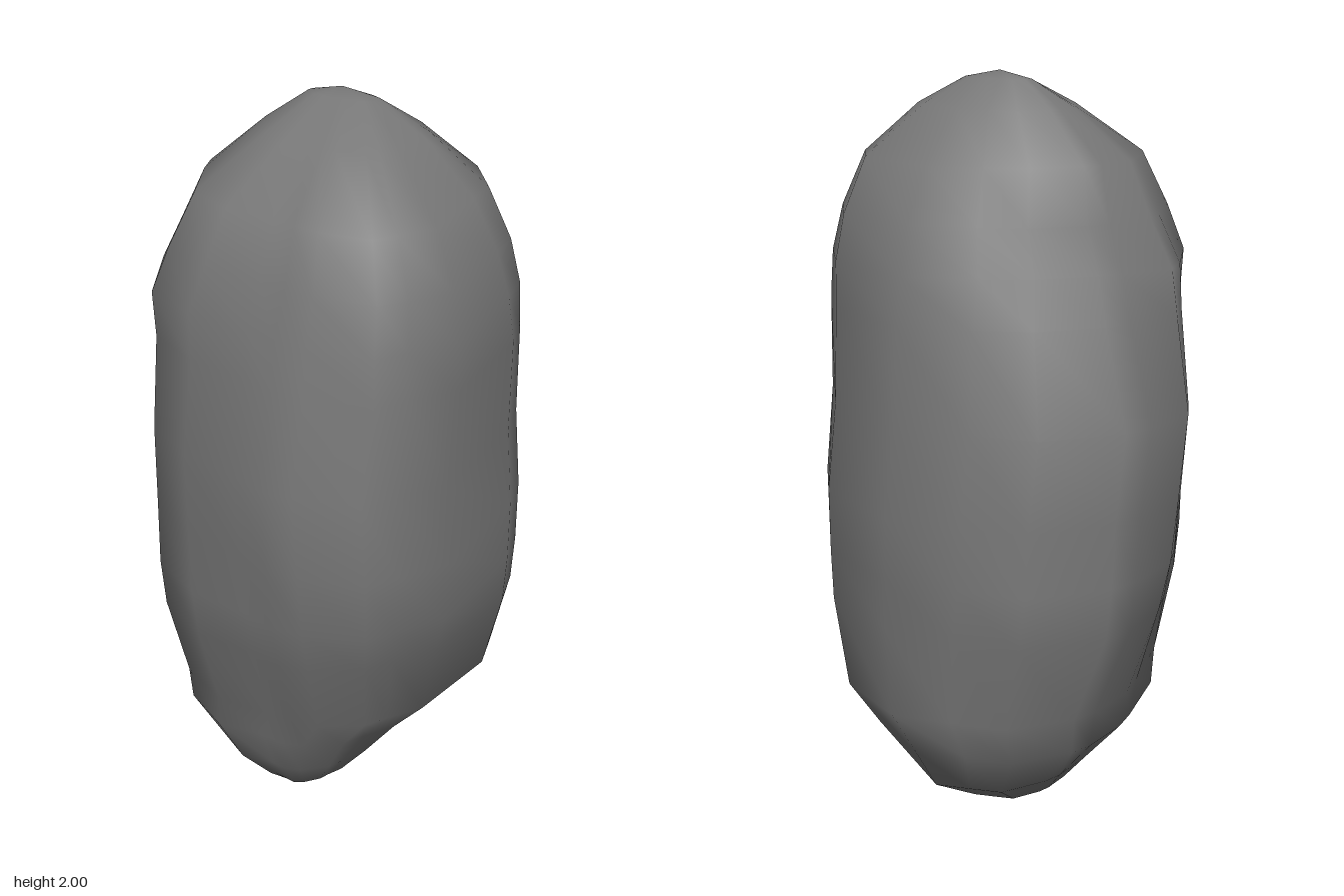
import * as THREE from 'three';

// Irregular outline of the stone seen from above, as [x, z], running back, right, front, left
const OUTLINE = [
  [0.1, -0.505], [-0.1, -0.48], [-0.28, -0.455], [-0.44, -0.29], [-0.475, -0.215], [-0.5, -0.03],
  [-0.465, 0.07], [-0.365, 0.31], [-0.22, 0.415], [-0.05, 0.46], [0.04, 0.5], [0.13, 0.505],
  [0.3, 0.47], [0.36, 0.4], [0.455, 0.29], [0.5, -0.05], [0.48, -0.175], [0.365, -0.35],
];

// Cross-sections from bottom to top: [y, xMin, xMax, zMin, zMax],
// then the swell of the corners: front left, front right, back right, back left
const SECTIONS = [
  [0.06, -0.15, 0.13, -0.2, 0.25, -0.3, 0.3, 0, 0],
  [0.16, -0.24, 0.22, -0.38, 0.32, -0.2, 0.45, 0, 0],
  [0.28, -0.35, 0.33, -0.45, 0.365, -0.2, 0.4, 0, 0],
  [0.38, -0.37, 0.43, -0.475, 0.395, -0.2, 0.33, 0, 0],
  [0.62, -0.44, 0.49, -0.49, 0.48, -0.18, 0.17, 0.15, 0],
  [0.75, -0.47, 0.5, -0.495, 0.5, -0.05, 0.08, 0.05, 0],
  [0.92, -0.49, 0.5, -0.505, 0.505, 0, 0, 0, 0],
  [1.15, -0.505, 0.49, -0.475, 0.51, 0, -0.08, 0, 0],
  [1.4, -0.48, 0.49, -0.44, 0.45, 0.05, 0.03, -0.25, 0],
  [1.52, -0.465, 0.47, -0.41, 0.425, 0.1, 0.15, -0.37, 0.1],
  [1.64, -0.4, 0.435, -0.36, 0.38, 0.15, 0.24, -0.3, 0.18],
  [1.78, -0.33, 0.37, -0.28, 0.32, 0.18, 0.24, -0.12, 0.3],
  [1.91, -0.18, 0.24, -0.17, 0.15, 0, 0.1, 0, 0.15],
  [1.98, -0.08, 0.11, -0.09, -0.02, 0, 0, 0, 0],
];
const BOTTOM = [0.08, 0, -0.07];
const TOP = [0.01, 2, -0.06];

function stoneGeometry() {
  const n = OUTLINE.length;
  const positions = [];
  const index = [];

  // Fit the outline into the extents of each section and swell or flatten its corners
  for (const [y, x0, x1, z0, z1, frontLeft, frontRight, backRight, backLeft] of SECTIONS) {
    for (const [u, v] of OUTLINE) {
      const swell = v > 0 ? (u > 0 ? frontLeft : frontRight) : (u > 0 ? backLeft : backRight);
      const k = 1 + swell * 4 * Math.abs(u * v);
      positions.push(
        THREE.MathUtils.lerp(x0, x1, u * k + 0.5), y,
        THREE.MathUtils.lerp(z0, z1, v * k + 0.5));
    }
  }
  const bottom = positions.length / 3;
  positions.push(...BOTTOM, ...TOP);

  // Skin between neighbouring sections
  for (let i = 0; i < SECTIONS.length - 1; i++) {
    for (let j = 0; j < n; j++) {
      const a = i * n + j, b = i * n + (j + 1) % n;
      index.push(a, b, a + n, b, b + n, a + n);
    }
  }

  // Close both ends to a point
  const last = (SECTIONS.length - 1) * n;
  for (let j = 0; j < n; j++) {
    const next = (j + 1) % n;
    index.push(bottom, next, j, last + j, last + next, bottom + 1);
  }

  const geometry = new THREE.BufferGeometry();
  geometry.setAttribute('position', new THREE.Float32BufferAttribute(positions, 3));
  geometry.setIndex(index);
  geometry.computeVertexNormals();
  return geometry;
}

export function createModel() {
  const group = new THREE.Group();
  group.name = 'rock';
  const stone = new THREE.Mesh(stoneGeometry(), new THREE.MeshStandardMaterial({ color: 0x777777 }));
  stone.name = 'stone';
  group.add(stone);
  return group;
}
